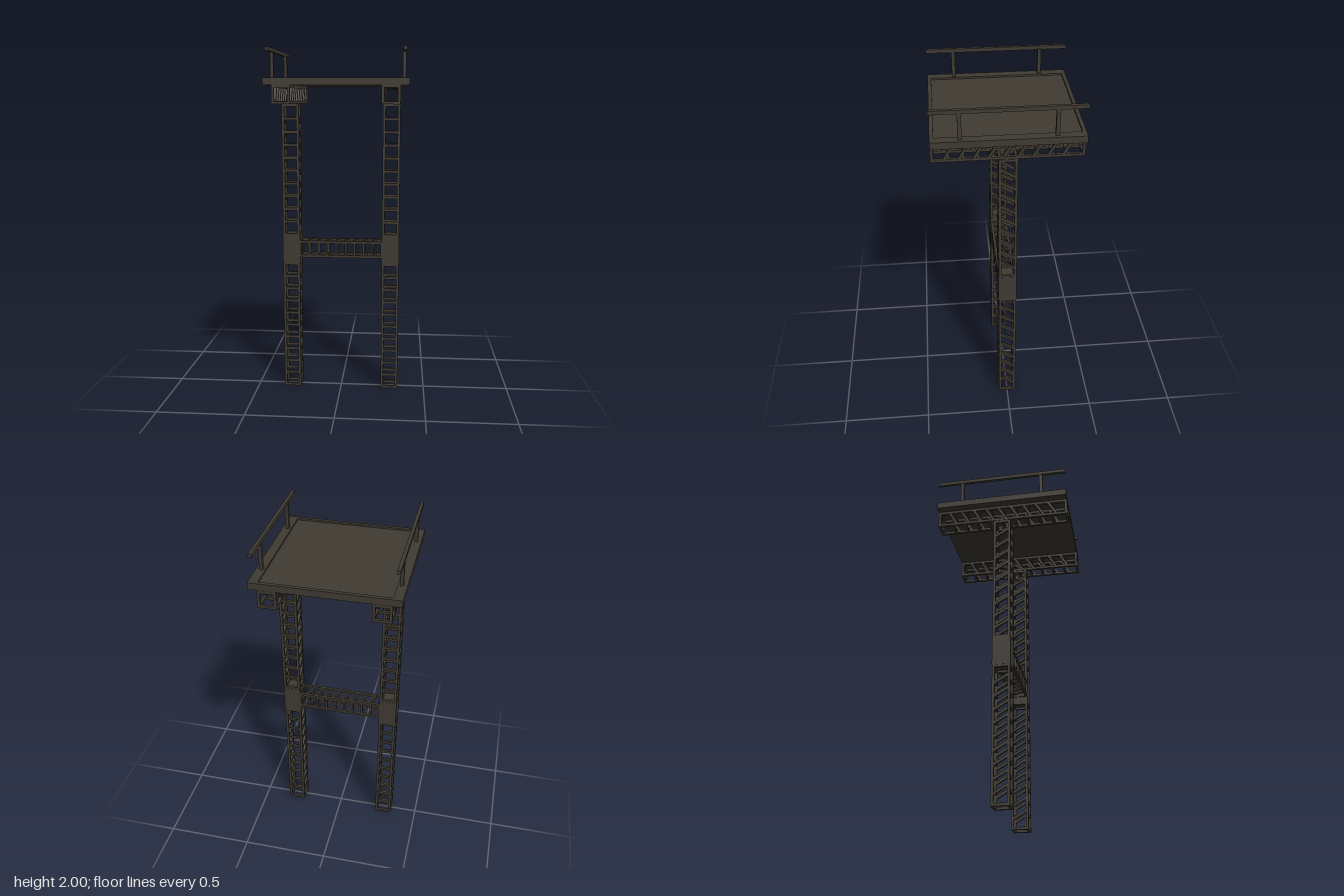
import * as THREE from 'three';

const metal = new THREE.MeshStandardMaterial({ color: 0x403a32 });
metal.name = 'dark metal';

function box(parent, name, w, h, d, x, y, z) {
  const mesh = new THREE.Mesh(new THREE.BoxGeometry(w, h, d), metal);
  mesh.name = name;
  mesh.position.set(x, y, z);
  parent.add(mesh);
  return mesh;
}

// Square lattice truss along y, centred on its own origin:
// straight rungs on the z faces, slanted braces on the x faces
function truss(name, length, count, spacing, braceWidth) {
  const group = new THREE.Group();
  group.name = name;
  const width = 0.1, bar = 0.015, o = (width - bar) / 2;
  const inner = width - 2 * bar;
  const rise = 0.05 * spacing / 0.075;
  const slant = Math.atan2(rise, 0.085);
  const braceLength = Math.hypot(rise, 0.085);
  for (const s of [-1, 1]) {
    for (const t of [-1, 1]) box(group, 'chord', bar, length, bar, s * o, 0, t * o);
    // end frames
    const y = s * (length - bar) / 2;
    for (const t of [-1, 1]) {
      box(group, 'endBar', inner, bar, bar, 0, y, t * o);
      box(group, 'endBar', bar, bar, inner, t * o, y, 0);
    }
    for (let i = 0; i < count; i++) {
      const h = (i - (count - 1) / 2) * spacing;
      box(group, 'rung', inner, braceWidth, bar * 0.9, 0, h, s * o);
      // higher towards +z
      box(group, 'brace', bar * 0.9, braceWidth, braceLength, s * o, h, 0).rotation.x = -slant;
    }
  }
  return group;
}

export function createModel() {
  const model = new THREE.Group();
  model.name = 'platformTower';
  const legX = 0.292;

  for (const s of [-1, 1]) {
    const side = s > 0 ? 'left' : 'right';

    // legs in two sections with a solid joint between them
    const lower = truss(side + 'LowerLeg', 0.77, 9, 0.075, 0.015);
    lower.position.set(s * legX, 0.385, 0);
    const upper = truss(side + 'UpperLeg', 0.77, 9, 0.075, 0.015);
    upper.position.set(s * legX, 1.315, 0);
    box(model, side + 'Joint', 0.102, 0.164, 0.102, s * legX, 0.85, 0);

    // beam carrying the deck
    const beam = truss(side + 'DeckBeam', 0.778, 9, 0.075, 0.015);
    beam.rotation.x = Math.PI / 2;
    beam.position.set(s * legX, 1.752, 0);
    model.add(lower, upper, beam);

    // handrail on two posts
    box(model, side + 'Handrail', 0.018, 0.02, 0.778, s * 0.363, 1.99, 0);
    for (const t of [-1, 1]) box(model, side + 'RailPost', 0.018, 0.16, 0.02, s * 0.36, 1.905, t * 0.24);
  }

  // cross beam between the joints
  const cross = truss('crossBeam', 0.5, 8, 0.054, 0.011);
  cross.rotation.z = Math.PI / 2;
  cross.position.y = 0.852;
  model.add(cross);

  // deck with a raised rim around a slightly sunken floor
  box(model, 'deckFloor', 0.776, 0.028, 0.774, 0, 1.816, 0);
  for (const s of [-1, 1]) {
    box(model, 'deckSideRim', 0.05, 0.038, 0.776, s * 0.364, 1.821, 0);
    box(model, 'deckEndRim', 0.68, 0.038, 0.02, 0, 1.821, s * 0.378);
  }
  return model;
}
